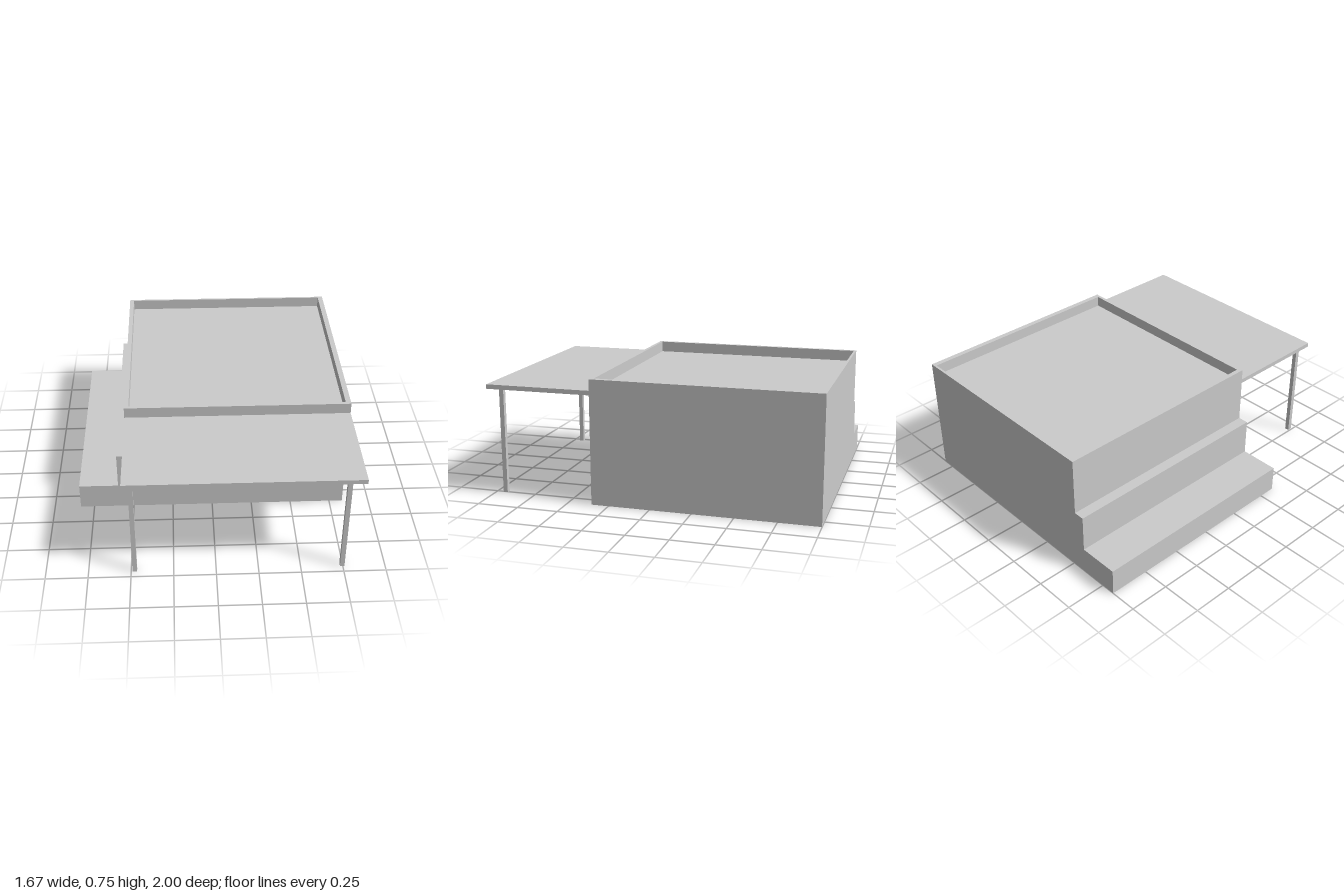
import * as THREE from 'three';

const material = new THREE.MeshStandardMaterial({ color: 0xcccccc, flatShading: true });

function add(group, name, geometry) {
  const mesh = new THREE.Mesh(geometry, material);
  mesh.name = name;
  group.add(mesh);
  return mesh;
}

// Box given by its minimum and maximum corners
function box(group, name, [x0, y0, z0], [x1, y1, z1]) {
  const mesh = add(group, name, new THREE.BoxGeometry(x1 - x0, y1 - y0, z1 - z0));
  mesh.position.set((x0 + x1) / 2, (y0 + y1) / 2, (z0 + z1) / 2);
}

const polygon = (points) => points.map(([x, y]) => new THREE.Vector2(x, y));
const rectangle = (x0, y0, x1, y1) => polygon([[x0, y0], [x1, y0], [x1, y1], [x0, y1]]);

export function createModel() {
  const house = new THREE.Group();
  house.name = 'house';

  const left = 0.833, right = -0.527, back = -1, front = 0.355;
  const roofY = 0.683, topY = 0.75;

  // Main block with the two side steps, as one profile run from back to front
  const profile = new THREE.Shape(polygon([
    [-0.836, 0], [left, 0], [left, roofY], [right, roofY],
    [right, 0.393], [-0.592, 0.393], [-0.592, 0.164], [-0.836, 0.164],
  ]));
  const body = new THREE.ExtrudeGeometry(profile, { depth: front - back, bevelEnabled: false });
  body.translate(0, 0, back);
  add(house, 'steppedBody', body);

  // Parapet ring around the sunken flat roof (drawn in plan, then laid flat)
  const ring = new THREE.Shape(rectangle(right, -front, left, -back));
  ring.holes.push(new THREE.Path(rectangle(-0.5, -0.334, 0.801, 0.986).reverse()));
  const parapet = new THREE.ExtrudeGeometry(ring, { depth: topY - roofY, bevelEnabled: false });
  parapet.rotateX(-Math.PI / 2);
  parapet.translate(0, roofY, 0);
  add(house, 'roofParapet', parapet);

  // Front canopy and its two posts
  box(house, 'canopy', [right, 0.656, front], [left, roofY, 1]);
  box(house, 'rightPost', [-0.492, 0, 0.929], [-0.465, 0.656, 0.956]);
  box(house, 'leftPost', [0.733, 0, 0.929], [0.76, 0.656, 0.956]);

  return house;
}
